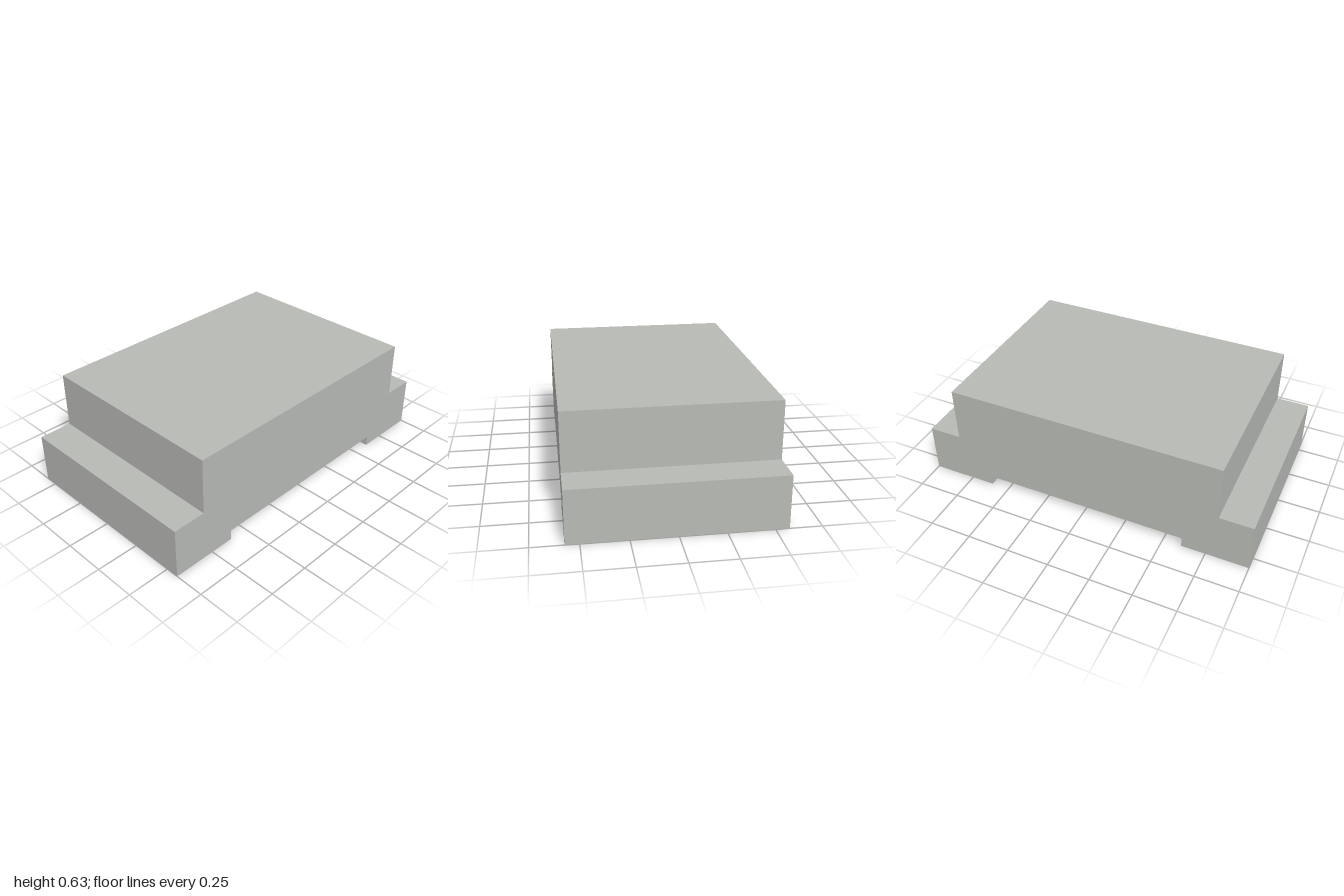
import * as THREE from 'three';

export function createModel() {
  const group = new THREE.Group();
  const grey = new THREE.MeshStandardMaterial({ color: 0xb8bab6 });
  grey.name = 'light grey';

  // Right half of the stepped outline, from the underside channel up to the top
  const half = [[0.61, 0.06], [0.61, 0], [1, 0], [1, 0.3], [0.805, 0.3], [0.805, 0.63]];
  const mirrored = half.map(([x, y]) => [-x, y]).reverse();
  const outline = new THREE.Shape([...half, ...mirrored].map(([x, y]) => new THREE.Vector2(x, y)));

  // Housing: the outline drawn straight through from back to front
  const depth = 1.15;
  const geometry = new THREE.ExtrudeGeometry(outline, { depth, bevelEnabled: false });
  geometry.translate(0, 0, -depth / 2);

  const housing = new THREE.Mesh(geometry, grey);
  housing.name = 'steppedHousing';
  group.add(housing);
  return group;
}
